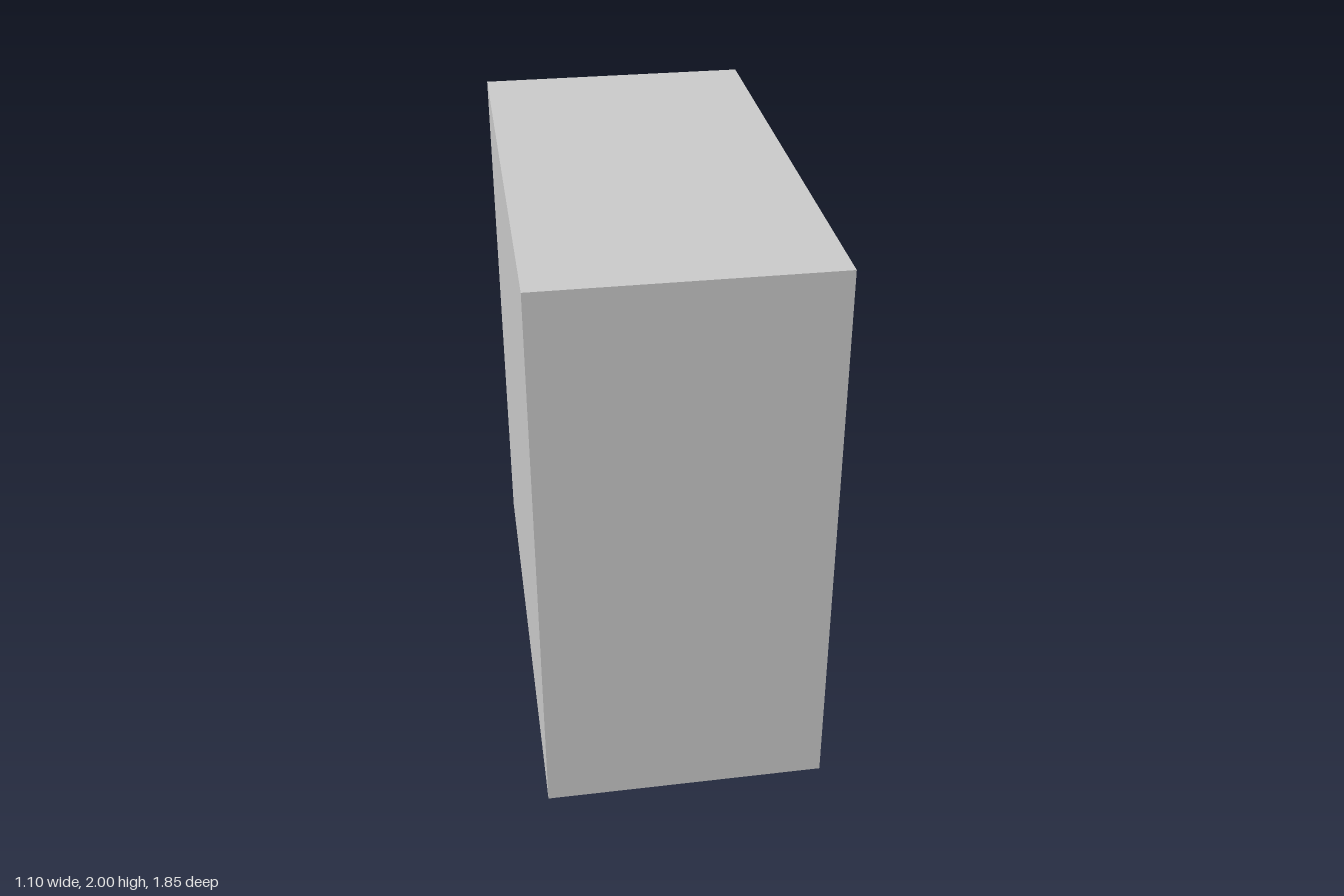
import * as THREE from 'three';

const grey = new THREE.MeshStandardMaterial({ color: 0xcccccc });
const inner = new THREE.MeshStandardMaterial({ color: 0xcccccc, side: THREE.BackSide });
const dark = new THREE.MeshStandardMaterial({ color: 0x707070 });

const FRONT = 0.435, BACK = -0.55, HALF = 0.925, TOP = 2;
const OPEN = { z: 0.82, y0: 0.115, y1: 1.89 };

// box spanning the given limits, optionally without its +x face
function span(x0, x1, y0, y1, halfZ, open) {
  const g = new THREE.BoxGeometry(x1 - x0, y1 - y0, 2 * halfZ);
  g.translate((x0 + x1) / 2, (y0 + y1) / 2, 0);
  if (open) {
    g.setIndex(Array.from(g.index.array).slice(6));
    g.clearGroups();
  }
  return g;
}

const rect = (path, h, y0, y1) =>
  path.moveTo(-h, y0).lineTo(h, y0).lineTo(h, y1).lineTo(-h, y1).closePath();

// turned knob: stem, flared back and domed face
function knobGeometry() {
  const pts = [[0.06, 0], [0.06, 0.04], [0.068, 0.055], [0.082, 0.07]].map(p => new THREE.Vector2(...p));
  const dome = [];
  for (let i = 0; i <= 10; i++) {
    const a = (i / 10) * Math.PI / 2;
    dome.push(new THREE.Vector2(i === 10 ? 0 : 0.082 * Math.cos(a), 0.08 + 0.06 * Math.sin(a)));
  }
  return new THREE.LatheGeometry([...pts, ...dome], 32).rotateZ(-Math.PI / 2);
}

export function createModel() {
  const model = new THREE.Group();
  const add = (parent, name, geometry, material = grey) => {
    const m = new THREE.Mesh(geometry, material);
    m.name = name;
    parent.add(m);
    return m;
  };

  // carcass: outer shell, front frame and hollow interior
  const carcass = new THREE.Group();
  carcass.name = 'carcass';
  model.add(carcass);
  add(carcass, 'outerShell', span(BACK, FRONT, 0, TOP, HALF, true));
  const frame = new THREE.Shape();
  rect(frame, HALF, 0, TOP);
  const hole = new THREE.Path();
  rect(hole, OPEN.z, OPEN.y0, OPEN.y1);
  frame.holes.push(hole);
  add(carcass, 'frontFrame', new THREE.ShapeGeometry(frame).rotateY(Math.PI / 2).translate(FRONT, 0, 0));
  add(carcass, 'interior', span(BACK + 0.05, FRONT, OPEN.y0, OPEN.y1, OPEN.z, true), inner);

  // drawers: bottom, middle (pulled slightly forward), top
  const knob = knobGeometry();
  const drawers = [
    ['bottomDrawer', 0.135, 0.705, 0.41, 0.44],
    ['middleDrawer', 0.715, 1.285, 0.428, 1.015],
    ['topDrawer', 1.295, 1.87, 0.41, 1.525],
  ];
  for (const [name, y0, y1, face, knobY] of drawers) {
    const drawer = new THREE.Group();
    drawer.name = name;
    model.add(drawer);
    add(drawer, 'drawerBox', span(BACK + 0.1, face, y0, y1, 0.805));
    add(drawer, 'knob', knob, dark).position.set(0.405, knobY, 0);
  }
  return model;
}
